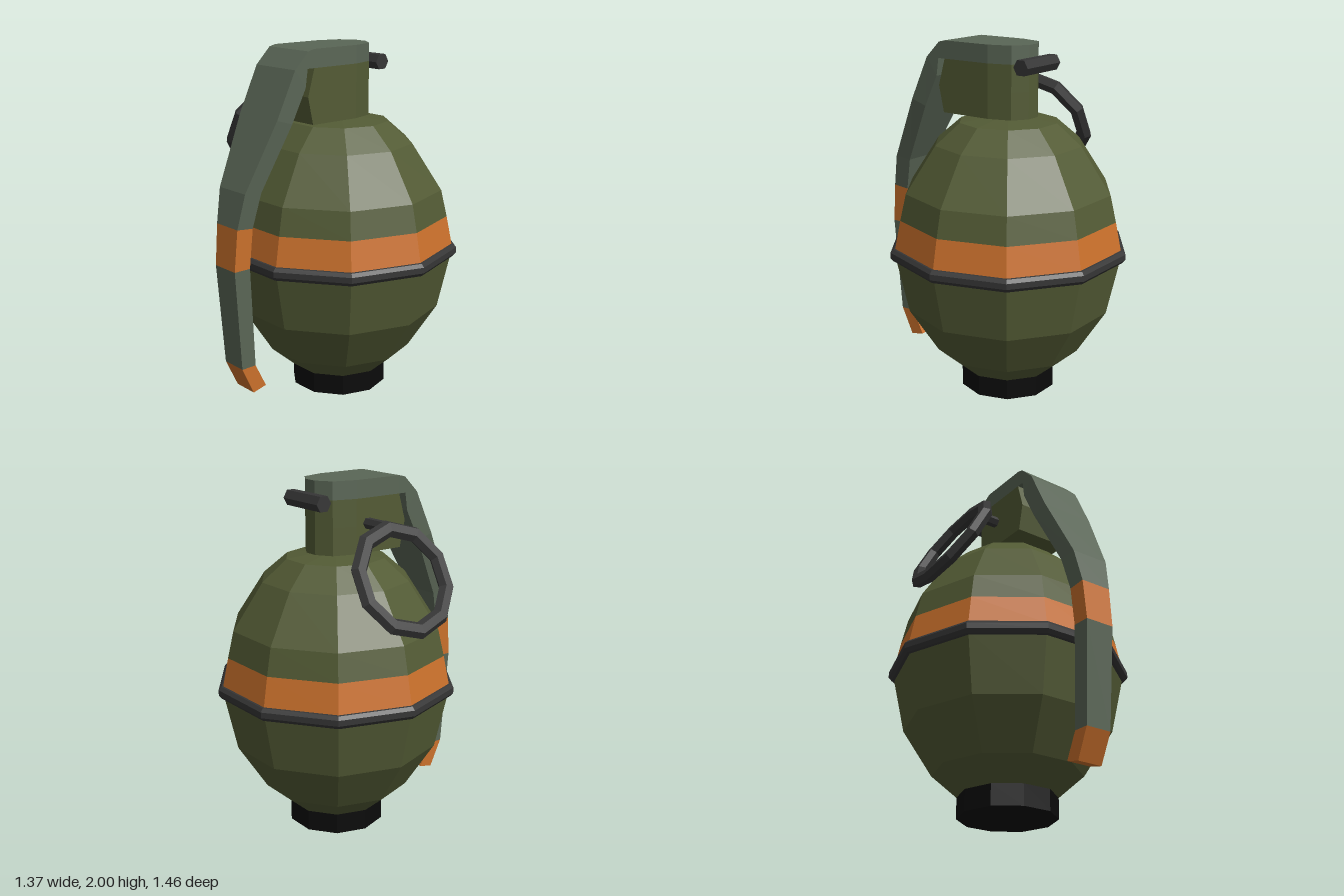
import * as THREE from 'three';

const paint = (name, color) => {
  const m = new THREE.MeshStandardMaterial({ color, flatShading: true });
  m.name = name;
  return m;
};

export function createModel() {
  const olive = paint('olive', 0x535b35);
  const steel = paint('greyGreen', 0x5a6656);
  const orange = paint('orange', 0xcb712c);
  const dark = paint('darkGrey', 0x363636);
  const black = paint('black', 0x0b0b0b);

  const model = new THREE.Group();
  model.name = 'grenade';
  const add = (name, geometry, material) => {
    const mesh = new THREE.Mesh(geometry, material);
    mesh.name = name;
    model.add(mesh);
    return mesh;
  };

  // Ten-sided turned parts, centred slightly behind the origin
  const turned = (name, profile, material) => {
    const pts = profile.map(([r, y]) => new THREE.Vector2(r, y));
    const geo = new THREE.LatheGeometry(pts, 10, Math.PI / 10);
    geo.translate(0, 0, -0.08);
    return add(name, geo, material);
  };
  turned('base', [[0, 0], [0.278, 0], [0.278, 0.12], [0, 0.12]], black);
  turned('lowerBody', [[0, 0.12], [0.28, 0.12], [0.42, 0.24], [0.585, 0.5], [0.655, 0.82], [0.66, 0.87]], olive);
  turned('bodyBand', [[0.66, 0.87], [0.625, 1.04]], orange);
  turned('upperBody', [[0.625, 1.04], [0.59, 1.19], [0.42, 1.45], [0.28, 1.57], [0, 1.605]], olive);
  turned('seamRing', [[0.65, 0.805], [0.668, 0.808], [0.685, 0.828], [0.685, 0.86], [0.668, 0.878], [0.65, 0.882]], dark);

  // Fuze head and cap share a plan with a faceted round back
  const outline = [[-0.163, -0.24], [0.163, -0.24], [0.163, 0.06], [0.125, 0.19],
    [0.04, 0.245], [-0.04, 0.245], [-0.125, 0.19], [-0.163, 0.06]];
  const plan = new THREE.Shape(outline.map(([x, y]) => new THREE.Vector2(x, y)));
  const slab = (y, depth, steps) => {
    const geo = new THREE.ExtrudeGeometry(plan, { depth, steps, bevelEnabled: false });
    geo.rotateX(-Math.PI / 2);
    geo.translate(0, y, 0);
    return geo;
  };
  const headGeo = slab(1.6, 0.3, 2);
  const pos = headGeo.attributes.position;
  for (let i = 0; i < pos.count; i++) {
    if (pos.getZ(i) < 0.2) continue;
    const y = pos.getY(i);
    pos.setZ(i, y > 1.85 ? 0.24 : y > 1.7 ? 0.283 : 0.25);
  }
  add('fuzeHead', headGeo, olive);
  add('fuzeCap', slab(1.9, 0.1, 1), steel);

  // Lever stations: outer z, outer y, inner z, inner y, half width
  const stations = [
    [0.24, 2.0, 0.24, 1.9, 0.163],
    [0.28, 1.99, 0.285, 1.9, 0.163],
    [0.37, 1.9, 0.3, 1.8, 0.163],
    [0.49, 1.65, 0.39, 1.62, 0.16],
    [0.67, 1.28, 0.565, 1.27, 0.112],
    [0.71, 1.09, 0.61, 1.08, 0.091],
    [0.73, 0.86, 0.63, 0.86, 0.086],
    [0.69, 0.29, 0.6, 0.29, 0.077],
    [0.615, 0.13, 0.53, 0.15, 0.075],
  ];
  const loft = (rows) => {
    const verts = [];
    const quad = (a, b, c, d) => verts.push(...a, ...b, ...c, ...a, ...c, ...d);
    const rings = rows.map(([oz, oy, iz, iy, w]) => [[-w, oy, oz], [w, oy, oz], [w, iy, iz], [-w, iy, iz]]);
    for (let k = 0; k + 1 < rings.length; k++) {
      const p = rings[k], q = rings[k + 1];
      for (let i = 0; i < 4; i++) {
        const j = (i + 1) % 4;
        quad(p[i], q[i], q[j], p[j]);
      }
    }
    const last = rings[rings.length - 1];
    quad(...rings[0]);
    quad(last[3], last[2], last[1], last[0]);
    const geo = new THREE.BufferGeometry();
    geo.setAttribute('position', new THREE.Float32BufferAttribute(verts, 3));
    geo.computeVertexNormals();
    return geo;
  };
  add('leverUpper', loft(stations.slice(0, 6)), steel);
  add('leverBand', loft(stations.slice(5, 7)), orange);
  add('leverLower', loft(stations.slice(6, 8)), steel);
  add('leverTip', loft(stations.slice(7)), orange);

  // Hexagonal bars running along x
  const bar = (name, radius, x0, x1, y, z) => {
    const geo = new THREE.CylinderGeometry(radius, radius, x1 - x0, 6);
    geo.rotateZ(Math.PI / 2);
    geo.translate((x0 + x1) / 2, y, z);
    add(name, geo, dark);
  };
  bar('hingePin', 0.047, -0.153, 0.15, 1.892, -0.268);
  bar('safetyPin', 0.032, -0.32, -0.12, 1.762, 0.018);

  // Pull ring, tilted outward on the right side
  const ringGeo = new THREE.TorusGeometry(0.283, 0.047, 6, 10);
  ringGeo.scale(1, 1, 0.8);
  const along = new THREE.Vector3(0.48, 0.877, 0).normalize();
  const across = new THREE.Vector3(0, 0, 1);
  const facing = new THREE.Vector3().crossVectors(along, across);
  ringGeo.applyMatrix4(new THREE.Matrix4().makeBasis(along, across, facing));
  ringGeo.translate(-0.467, 1.508, 0.017);
  add('pullRing', ringGeo, dark);

  return model;
}
